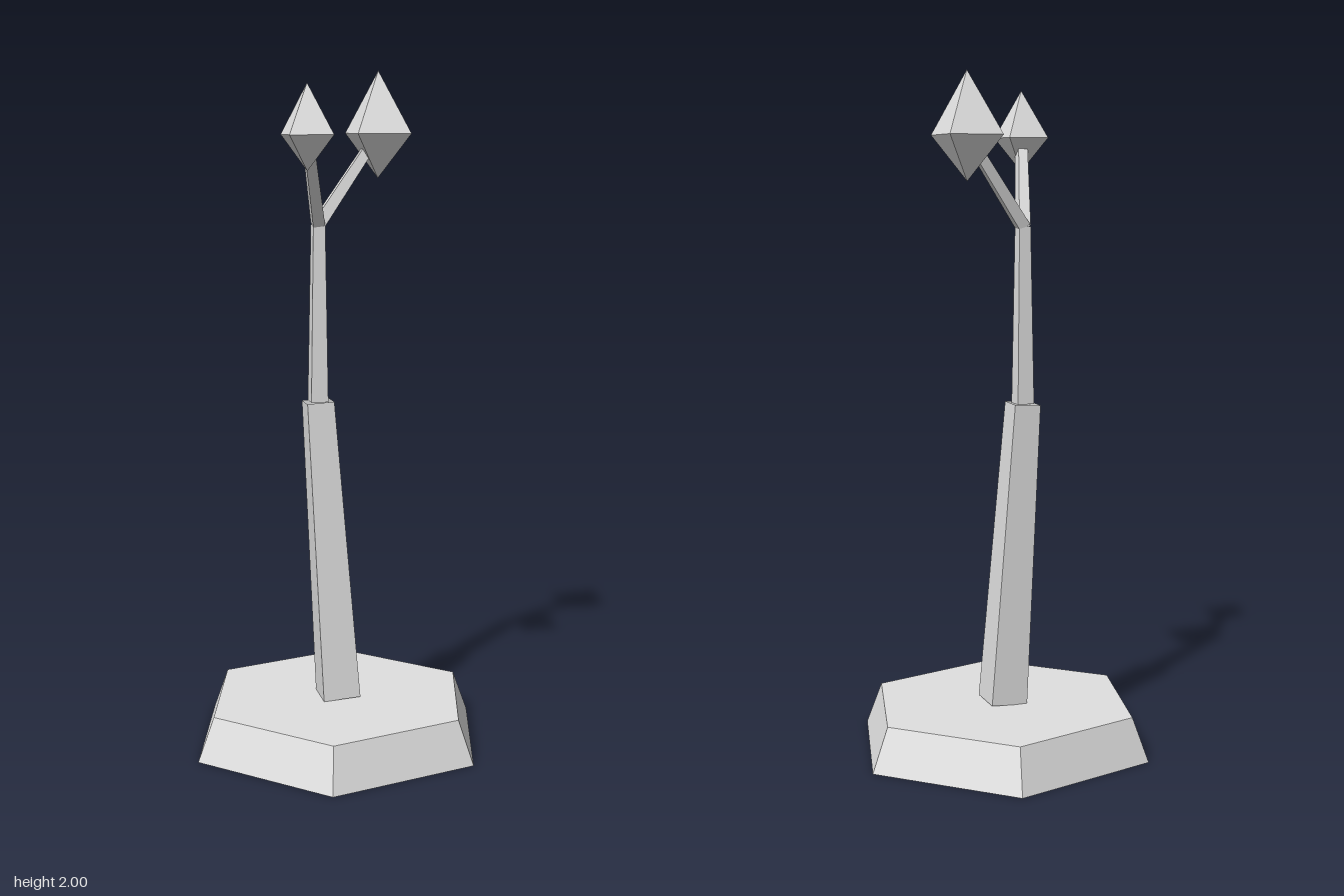
import * as THREE from 'three';

const UP = new THREE.Vector3(0, 1, 0);

export function createModel() {
  const model = new THREE.Group();
  const stone = new THREE.MeshStandardMaterial({ color: 0xe0e0e0, flatShading: true, side: THREE.DoubleSide });
  stone.name = 'pale stone';

  const add = (name, geometry) => {
    const mesh = new THREE.Mesh(geometry, stone);
    mesh.name = name;
    model.add(mesh);
    return mesh;
  };

  // Open four-sided tapered limb between two points
  const limb = (name, from, to, r0, r1) => {
    const a = new THREE.Vector3(...from), b = new THREE.Vector3(...to);
    const dir = b.clone().sub(a);
    const mesh = add(name, new THREE.CylinderGeometry(r1, r0, dir.length(), 4, 1, true));
    mesh.position.copy(a).add(b).multiplyScalar(0.5);
    mesh.quaternion.setFromUnitVectors(UP, dir.normalize());
  };

  // Bud: two four-sided pyramids, the upper one taller
  const bud = (name, [x, y, z], r, up, down) => {
    const profile = [[0, -down], [r, 0], [0, up]].map(p => new THREE.Vector2(...p));
    add(name, new THREE.LatheGeometry(profile, 4)).position.set(x, y, z);
  };

  // Hexagonal base: sloped wall and flat top, hollow underneath
  const wall = add('baseWall', new THREE.CylinderGeometry(0.415, 0.467, 0.13, 6, 1, true));
  wall.position.y = 0.065;
  wall.rotation.y = Math.PI / 6;
  const top = add('baseTop', new THREE.CircleGeometry(0.415, 6));
  top.position.y = 0.13;
  top.rotation.x = -Math.PI / 2;

  // Leaning trunk in two sections
  const joint = [-0.053, 1.04, 0.027], fork = [-0.053, 1.56, 0.025];
  limb('lowerTrunk', [0, 0.132, 0], joint, 0.08, 0.057);
  limb('upperTrunk', joint, fork, 0.036, 0.025);

  // Two branches, each ending in a bud
  const frontBud = [0.03, 1.82, 0.21], backBud = [0.045, 1.82, -0.15];
  limb('frontBranch', fork, frontBud, 0.025, 0.02);
  limb('backBranch', fork, backBud, 0.025, 0.02);
  bud('frontBud', frontBud, 0.088, 0.14, 0.1);
  bud('backBud', backBud, 0.113, 0.18, 0.13);

  return model;
}
